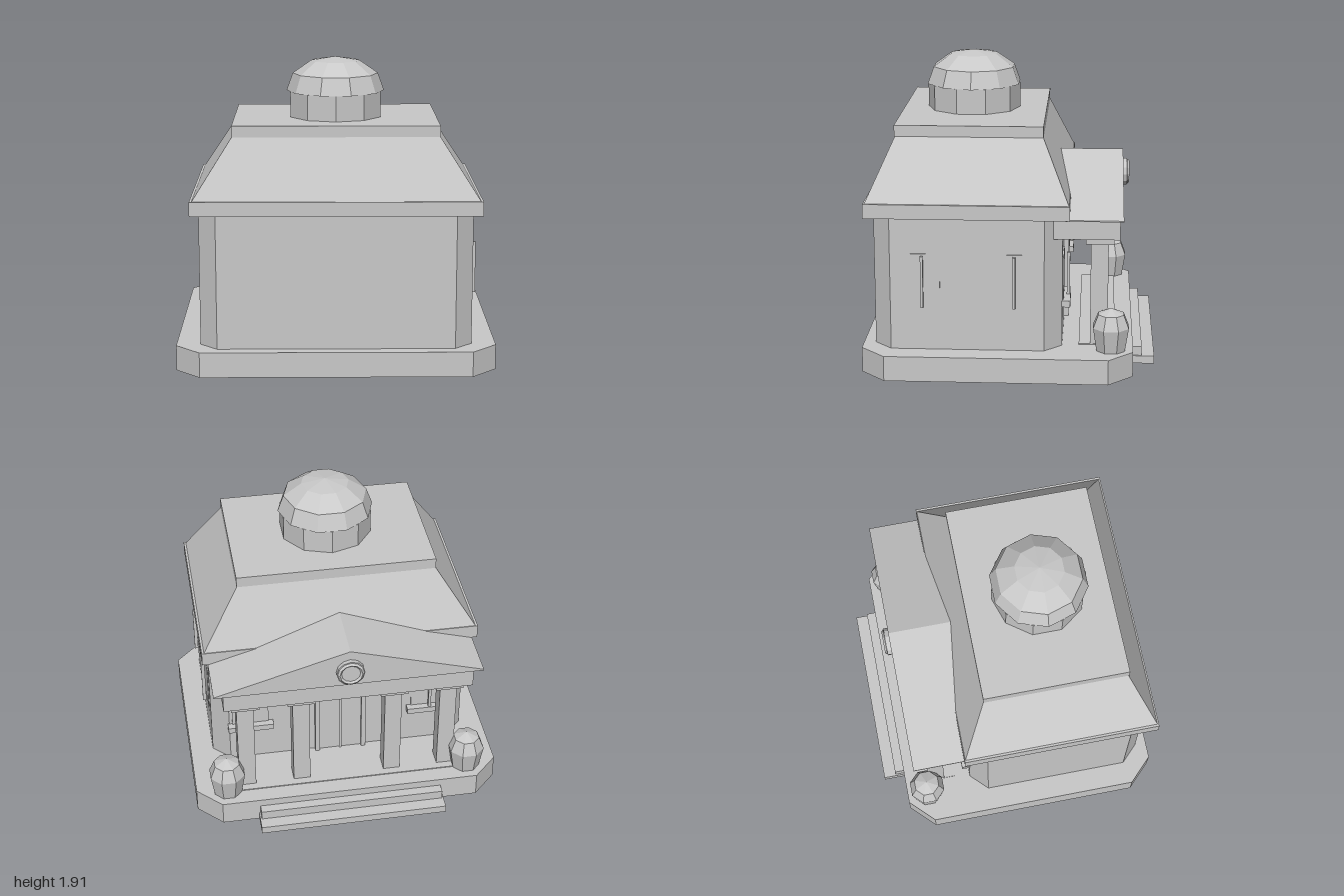
import * as THREE from 'three';

const stone = new THREE.MeshStandardMaterial({ color: 0xc8c8c8, flatShading: true });
stone.name = 'pale grey stone';

export function createModel() {
  const model = new THREE.Group();
  model.name = 'domedPavilion';

  const add = (name, geometry, x = 0, y = 0, z = 0, parent = model) => {
    const mesh = new THREE.Mesh(geometry, stone);
    mesh.name = name;
    mesh.position.set(x, y, z);
    parent.add(mesh);
    return mesh;
  };
  // Box given by its limits on each axis
  const block = (name, [x0, x1], [y0, y1], [z0, z1], parent) =>
    add(name, new THREE.BoxGeometry(x1 - x0, y1 - y0, z1 - z0),
      (x0 + x1) / 2, (y0 + y1) / 2, (z0 + z1) / 2, parent);
  // Floor plan with cut corners, drawn in x and z
  const plan = (h, z0, z1, c) => [
    [h, z0 + c], [h, z1 - c], [h - c, z1], [c - h, z1],
    [-h, z1 - c], [-h, z0 + c], [c - h, z0], [h - c, z0],
  ].map(([x, z]) => new THREE.Vector2(x, z));
  const prism = (name, points, y0, y1, hole) => {
    const shape = new THREE.Shape(points);
    if (hole) shape.holes.push(new THREE.Path(hole));
    const geometry = new THREE.ExtrudeGeometry(shape, { depth: y1 - y0, bevelEnabled: false });
    geometry.rotateX(Math.PI / 2);
    return add(name, geometry, 0, y1, 0);
  };
  const lathe = (points, sides, start = 0) => new THREE.LatheGeometry(
    points.map(([r, y]) => new THREE.Vector2(r, y)), sides, start);

  // Plinth, open underneath
  prism('plinthRim', plan(1, -0.78, 0.915, 0.155), 0, 0.15, plan(0.985, -0.765, 0.9, 0.15));
  prism('plinthTop', plan(1, -0.78, 0.915, 0.155), 0.15, 0.16);
  block('lowerStep', [-0.61, 0.61], [0, 0.05], [-0.92, -0.78]);
  block('upperStep', [-0.6, 0.6], [0.05, 0.11], [-0.84, -0.78]);
  block('porchFloor', [-0.72, 0.72], [0.16, 0.166], [-0.67, -0.44]);

  // Main walls
  prism('walls', plan(0.85, -0.335, 0.84, 0.11), 0.16, 1.01);

  // Hipped roof
  block('eaves', [-0.895, 0.895], [1.01, 1.1], [-0.38, 0.885]);
  const hip = new THREE.BoxGeometry(1.76, 0.37, 1.25);
  const p = hip.attributes.position;
  for (let i = 0; i < p.count; i++) {
    if (p.getY(i) > 0) {
      p.setX(i, p.getX(i) * 0.64 / 0.88);
      p.setZ(i, p.getZ(i) * 0.46 / 0.625);
    }
  }
  hip.computeVertexNormals();
  add('hippedRoof', hip, 0, 1.285, 0.25);
  block('roofCap', [-0.64, 0.64], [1.47, 1.54], [-0.21, 0.715]);

  // Drum and dome
  add('drum', new THREE.CylinderGeometry(0.3, 0.3, 0.16, 10), 0, 1.62, 0.265);
  add('dome', lathe([[0, 0], [0.31, 0], [0.27, 0.11], [0.155, 0.19], [0, 0.215]], 10, Math.PI / 2),
    0, 1.7, 0.265);

  // Portico at the rear
  block('entablature', [-0.8, 0.8], [0.87, 1.01], [-0.69, -0.28]);
  const gable = new THREE.Shape([[-0.86, 1], [0.86, 1], [0.86, 1.008], [0, 1.262], [-0.86, 1.008]]
    .map(([x, y]) => new THREE.Vector2(x, y)));
  add('pediment', new THREE.ExtrudeGeometry(gable, { depth: 0.46, bevelEnabled: false }), 0, 0, -0.71);
  for (const x of [-0.66, -0.3, 0.3, 0.66]) {
    block('column', [x - 0.055, x + 0.055], [0.16, 0.825], [-0.62, -0.51]);
    block('capital', [x - 0.09, x + 0.09], [0.825, 0.87], [-0.655, -0.48]);
  }

  // Round medallion on the pediment
  const disc = (r, d) => new THREE.CylinderGeometry(r, r, d, 12).rotateX(Math.PI / 2);
  add('medallion', disc(0.09, 0.03), 0, 1.11, -0.722);
  const rim = new THREE.TorusGeometry(0.072, 0.012, 4, 12);
  add('medallionRim', rim, 0, 1.11, -0.74);

  // Door with surround
  block('doorLeaf', [-0.14, 0.14], [0.16, 0.69], [-0.345, -0.335]);
  block('doorSplit', [-0.008, 0.008], [0.16, 0.69], [-0.355, -0.34]);
  block('doorLintel', [-0.17, 0.17], [0.69, 0.72], [-0.365, -0.33]);
  for (const s of [-1, 1]) {
    block('doorJamb', [s * 0.155 - 0.015, s * 0.155 + 0.015], [0.16, 0.69], [-0.365, -0.33]);

    // Rear windows with sills
    const x = s * 0.6;
    block('rearWindow', [x - 0.12, x + 0.12], [0.455, 0.73], [-0.343, -0.334]);
    block('rearMullion', [x - 0.009, x + 0.009], [0.455, 0.73], [-0.38, -0.36]);
    block('rearSill', [x - 0.15, x + 0.15], [0.415, 0.455], [-0.385, -0.33]);

    // Planted urns
    const urn = new THREE.Group();
    urn.name = 'urn';
    urn.position.set(s * 0.795, 0.16, -0.64);
    model.add(urn);
    add('pot', lathe([[0, 0], [0.095, 0], [0.12, 0.15], [0, 0.15]], 8, Math.PI / 8), 0, 0, 0, urn);
    add('shrub', lathe([[0.12, 0.15], [0.085, 0.235], [0, 0.27]], 8, Math.PI / 8), 0, 0, 0, urn);
  }

  // Windows on the left wall only
  for (const z of [0.53, -0.04]) {
    block('sideWindow', [0.849, 0.855], [0.43, 0.78], [z - 0.11, z + 0.11]);
    block('sideMullion', [0.862, 0.885], [0.44, 0.77], [z - 0.008, z + 0.008]);
  }
  return model;
}
